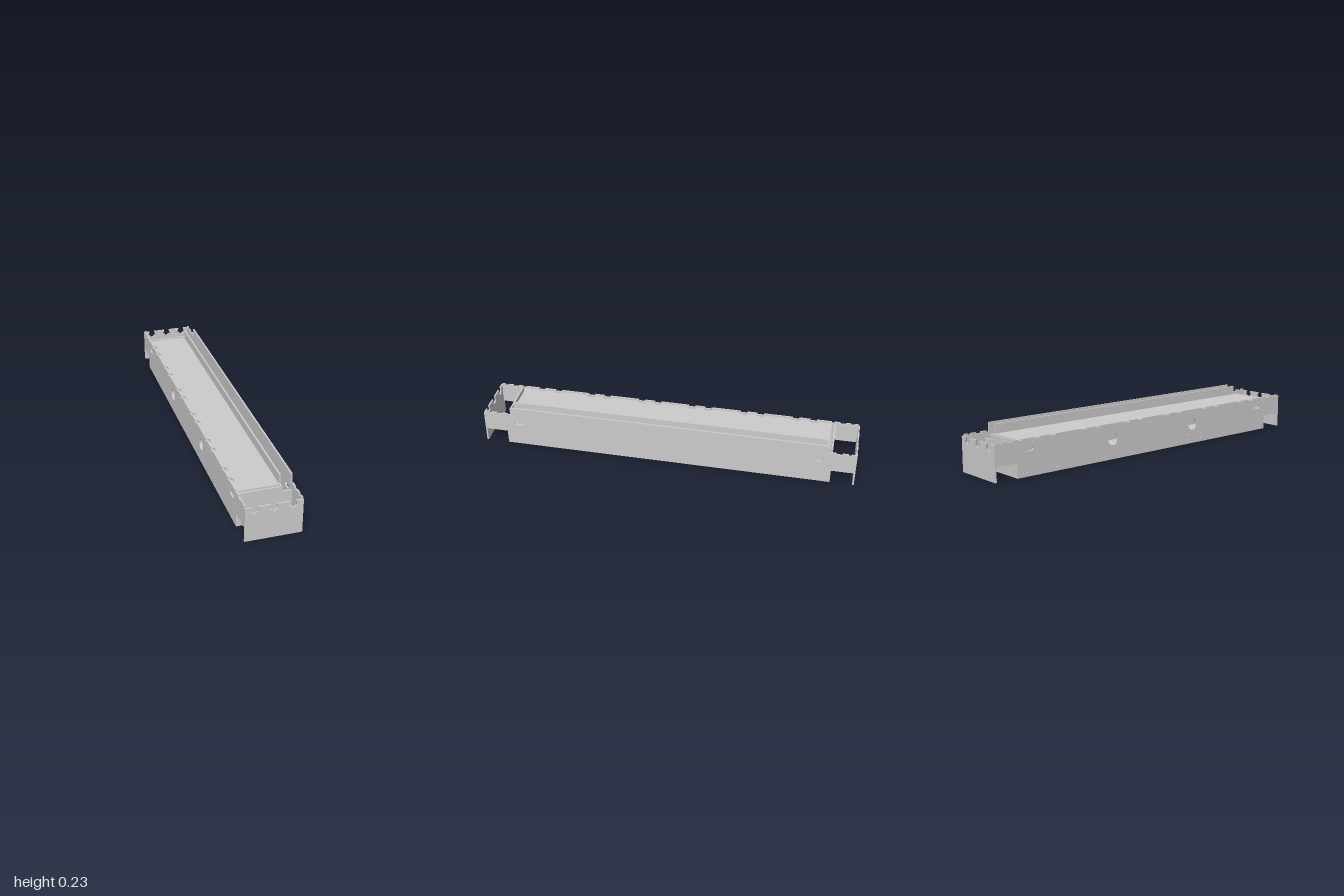
import * as THREE from 'three';

const T = 0.009; // sheet thickness

// Round pin hole
function pin(x, y, r = 0.003, n = 6) {
  return Array.from({ length: n }, (_, i) => {
    const a = (i / n) * Math.PI * 2;
    return [x + r * Math.cos(a), y + r * Math.sin(a)];
  });
}

// Elongated hand slot
function slot(x, y) {
  const pts = [];
  for (let i = 0; i < 18; i++) {
    const a = -Math.PI / 2 + ((i < 9 ? i : i - 1) / 8) * Math.PI;
    pts.push([x + (i < 9 ? 0.015 : -0.015) + 0.011 * Math.cos(a), y + 0.011 * Math.sin(a)]);
  }
  return pts;
}

// Dovetail notch with a rounded relief, as [along, depth] points
function dovetail(c, k = 1) {
  const pts = [[-0.0145, 0], [-0.021, 0.027]];
  for (let i = 0; i <= 8; i++) {
    const a = (i / 8) * Math.PI;
    pts.push([-0.01 * Math.cos(a), 0.027 + 0.009 * Math.sin(a)]);
  }
  pts.push([0.021, 0.027], [0.0145, 0]);
  return pts.map(([u, d]) => [c + u, d * k]);
}

// Evenly spaced positions between -end and end
const spread = (n, end) => Array.from({ length: n }, (_, i) => -end + (2 * end * i) / (n - 1));

export function createModel() {
  const group = new THREE.Group();
  const material = new THREE.MeshStandardMaterial({ color: 0xcccccc, side: THREE.DoubleSide });

  // Cut sheet: 'end' is drawn in (x, y), 'side' in (z, y), 'flat' in (x, z)
  function sheet(name, kind, at, outline, holes = []) {
    const v = (pts) => pts.map(([a, b]) => new THREE.Vector2(a, b));
    const shape = new THREE.Shape(v(outline));
    shape.holes = holes.map((h) => new THREE.Path(v(h)));
    const geo = new THREE.ExtrudeGeometry(shape, { depth: T, bevelEnabled: false });
    geo.translate(0, 0, -T / 2);
    if (kind === 'side') geo.rotateY(-Math.PI / 2);
    if (kind === 'flat') geo.rotateX(Math.PI / 2);
    const mesh = new THREE.Mesh(geo, material);
    mesh.position[{ end: 'z', side: 'x', flat: 'y' }[kind]] = at;
    mesh.name = name;
    group.add(mesh);
  }

  const lockZ = [0.095, 0.185, 0.38, 0.47, 0.66, 0.755];
  const locks = [...lockZ.map((z) => -z).reverse(), ...lockZ];

  // End panels, with three dovetail notches along the top
  const endPins = [-0.131, 0.131].flatMap((x) => [0.123, 0.137, 0.164].map((y) => pin(x, y)));
  const endOutline = [[0.141, 0.18], [0.141, 0], [-0.141, 0], [-0.141, 0.18]];
  for (const c of [-0.093, 0, 0.091]) endOutline.push(...dovetail(c).map(([x, d]) => [x, 0.18 - d]));
  for (const s of [-1, 1]) {
    const place = s > 0 ? 'front' : 'back';
    sheet(place + 'EndPanel', 'end', s * (1 - T / 2), endOutline, endPins);

    // Inner end panels, lower across the side channel
    sheet(place + 'InnerPanel', 'end', s * 0.87,
      [[-0.132, 0], [0.132, 0], [0.132, 0.153], [0.084, 0.153], [0.084, 0.18], [-0.132, 0.18]],
      [-0.11, -0.03, 0.05].map((x) => pin(x, 0.02)));
  }

  // Lower outline shared by both long outer walls, with stepped arms to the ends
  const wallBase = [[-0.991, 0.075], [-0.875, 0.075], [-0.875, 0], [0.875, 0], [0.875, 0.075], [0.991, 0.075]];
  const armTop = [[0.991, 0.188], [0.97, 0.188], [0.97, 0.181], [0.955, 0.181], [0.955, 0.188],
    [0.925, 0.188], [0.925, 0.181], [0.895, 0.181], [0.895, 0.188], [0.865, 0.188], [0.865, 0.181], [0.85, 0.181]];
  const mirrorTop = armTop.map(([z, y]) => [-z, y]).reverse();
  const wallHoles = [-1, 1].flatMap((s) => [
    slot(s * 0.805, 0.135),
    ...[0.09, 0.11, 0.125].map((y) => pin(s * 0.868, y)),
    ...[0.123, 0.137].map((y) => pin(s * 0.98, y)),
  ]);

  // Tall left wall
  sheet('tallOuterWall', 'side', 0.1365,
    [...wallBase, ...armTop, [0.85, 0.228], [-0.85, 0.228], ...mirrorTop], wallHoles);

  // Low right wall: locking gaps, two round ports and stitch holes
  const gaps = locks.slice().reverse().flatMap((z) =>
    [[z + 0.017, 0.188], [z + 0.017, 0.18], [z - 0.017, 0.18], [z - 0.017, 0.188]]);
  const stitches = spread(18, 0.83).flatMap((z) => [0.022, 0.05].flatMap((y) => [pin(z - 0.008, y), pin(z + 0.008, y)]));
  const topStitches = spread(18, 0.78).filter((z) => Math.abs(Math.abs(z) - 0.284) > 0.04).map((z) => pin(z, 0.163));
  sheet('lowOuterWall', 'side', -0.1365,
    [...wallBase, ...armTop, [0.85, 0.188], ...gaps, [-0.85, 0.188], ...mirrorTop],
    [...wallHoles, ...stitches, ...topStitches, ...[-0.284, 0.284].map((z) => pin(z, 0.105, 0.031, 28))]);

  // Inner long wall beside the open channel
  sheet('innerLongWall', 'side', 0.0805,
    [[-0.865, 0], [0.865, 0], [0.865, 0.18], [0.845, 0.18], [0.845, 0.228], [-0.845, 0.228], [-0.845, 0.18], [-0.865, 0.18]],
    spread(34, 0.82).map((z) => pin(z, 0.022)));

  // Deck with dovetail notches along its right edge
  const deckPins = spread(33, 0.83).map((z) => pin(0.07, z));
  for (const s of [-0.843, 0.843]) for (const x of [-0.07, 0.015]) deckPins.push(pin(x, s));
  const deck = [[-0.132, -0.852]];
  for (const z of locks) deck.push(...dovetail(z, 0.45).map(([u, d]) => [-0.132 + d, u]));
  deck.push([-0.132, 0.852], [0.076, 0.852], [0.076, -0.852]);
  sheet('deck', 'flat', 0.1755, deck, deckPins);

  // Bottom plate, slightly recessed
  sheet('bottomPlate', 'flat', 0.036, [[-0.132, -0.852], [0.076, -0.852], [0.076, 0.852], [-0.132, 0.852]]);

  return group;
}
